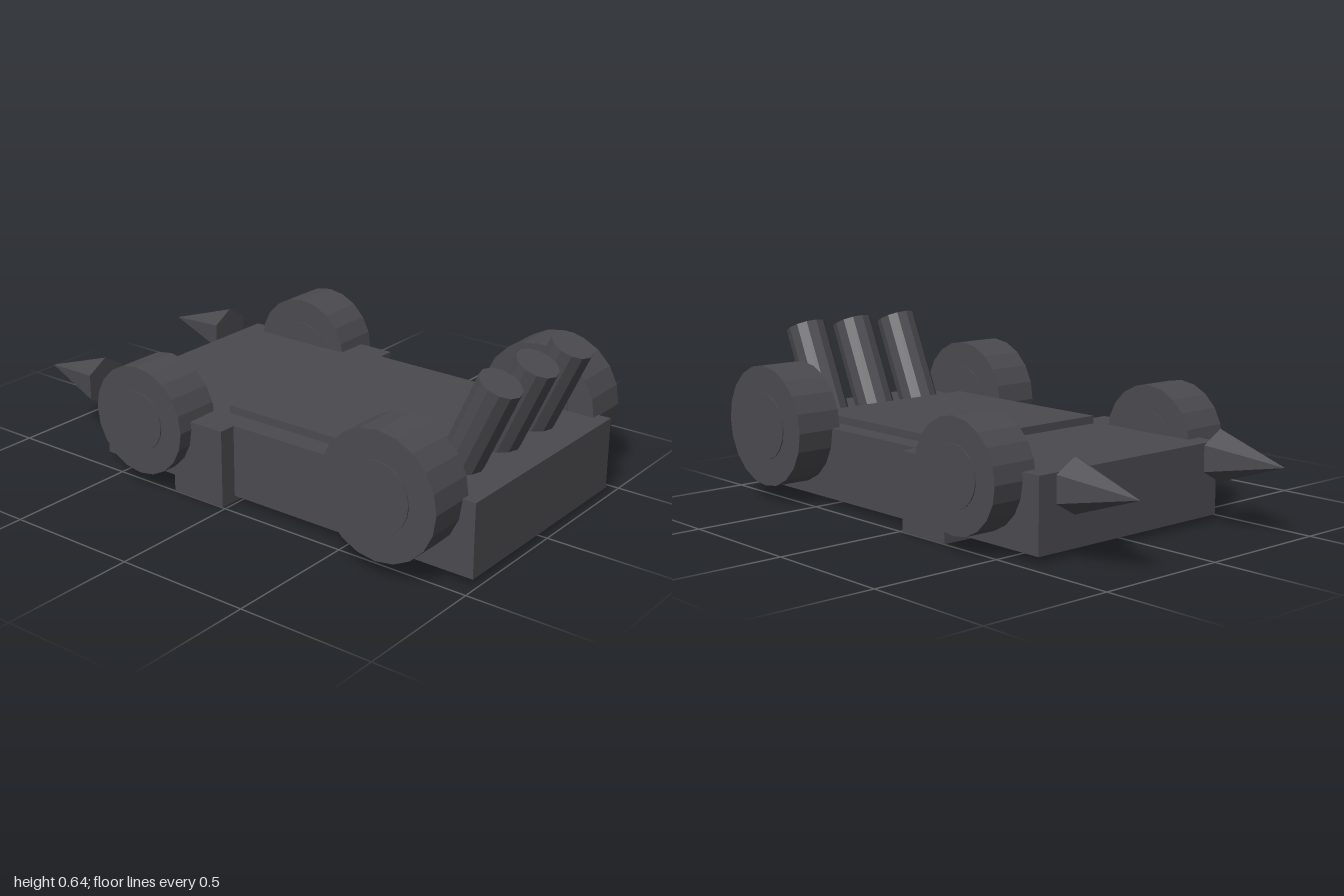
import * as THREE from 'three';

export function createModel() {
  const group = new THREE.Group();
  group.name = 'hotRod';
  const metal = new THREE.MeshStandardMaterial({ color: 0x4b4a4f, flatShading: true });
  metal.name = 'dark gunmetal';

  const add = (name, geometry, x, y, z, parent = group) => {
    const mesh = new THREE.Mesh(geometry, metal);
    mesh.name = name;
    mesh.position.set(x, y, z);
    parent.add(mesh);
    return mesh;
  };
  const box = (name, x, y0, y1, z0, z1) =>
    add(name, new THREE.BoxGeometry(2 * x, y1 - y0, z1 - z0), 0, (y0 + y1) / 2, (z0 + z1) / 2);

  // Chassis, raised deck plate and the wide cross member under it
  box('body', 0.434, 0.022, 0.29, -0.63, 0.983);
  box('deckPlate', 0.353, 0.28, 0.319, -0.097, 0.676);
  box('crossMember', 0.499, 0, 0.289, -0.237, -0.012);

  // Wheel with a hub that stands slightly proud on both faces
  const addWheel = (name, side, x, y, z, radius, hubRadius, width) => {
    const wheel = new THREE.Group();
    wheel.name = name;
    wheel.position.set(side * x, y, z);
    add('tyre', new THREE.CylinderGeometry(radius, radius, width, 20).rotateZ(Math.PI / 2), 0, 0, 0, wheel);
    add('hub', new THREE.CylinderGeometry(hubRadius, hubRadius, width + 0.008, 20).rotateZ(Math.PI / 2), 0, 0, 0, wheel);
    group.add(wheel);
  };

  for (const side of [-1, 1]) {
    const label = side > 0 ? 'left' : 'right';
    addWheel(label + 'FrontWheel', side, 0.49, 0.286, 0.706, 0.228, 0.126, 0.18);
    addWheel(label + 'RearWheel', side, 0.465, 0.261, -0.352, 0.202, 0.111, 0.18);

    // Six-sided spike floating behind the tail, pointing back
    const spike = new THREE.ConeGeometry(0.095, 0.285, 6).rotateX(-Math.PI / 2);
    add(label + 'Spike', spike, side * 0.354, 0.26, -0.855);
  }

  // Three pipes leaning forward out of the nose
  const tilt = 0.42, length = 0.44;
  for (const x of [-0.225, 0, 0.225]) {
    const pipe = new THREE.CylinderGeometry(0.077, 0.077, length, 12)
      .translate(0, -length / 2, 0)
      .rotateX(tilt);
    add('exhaustPipe', pipe, x, 0.613, 0.928);
  }

  return group;
}
